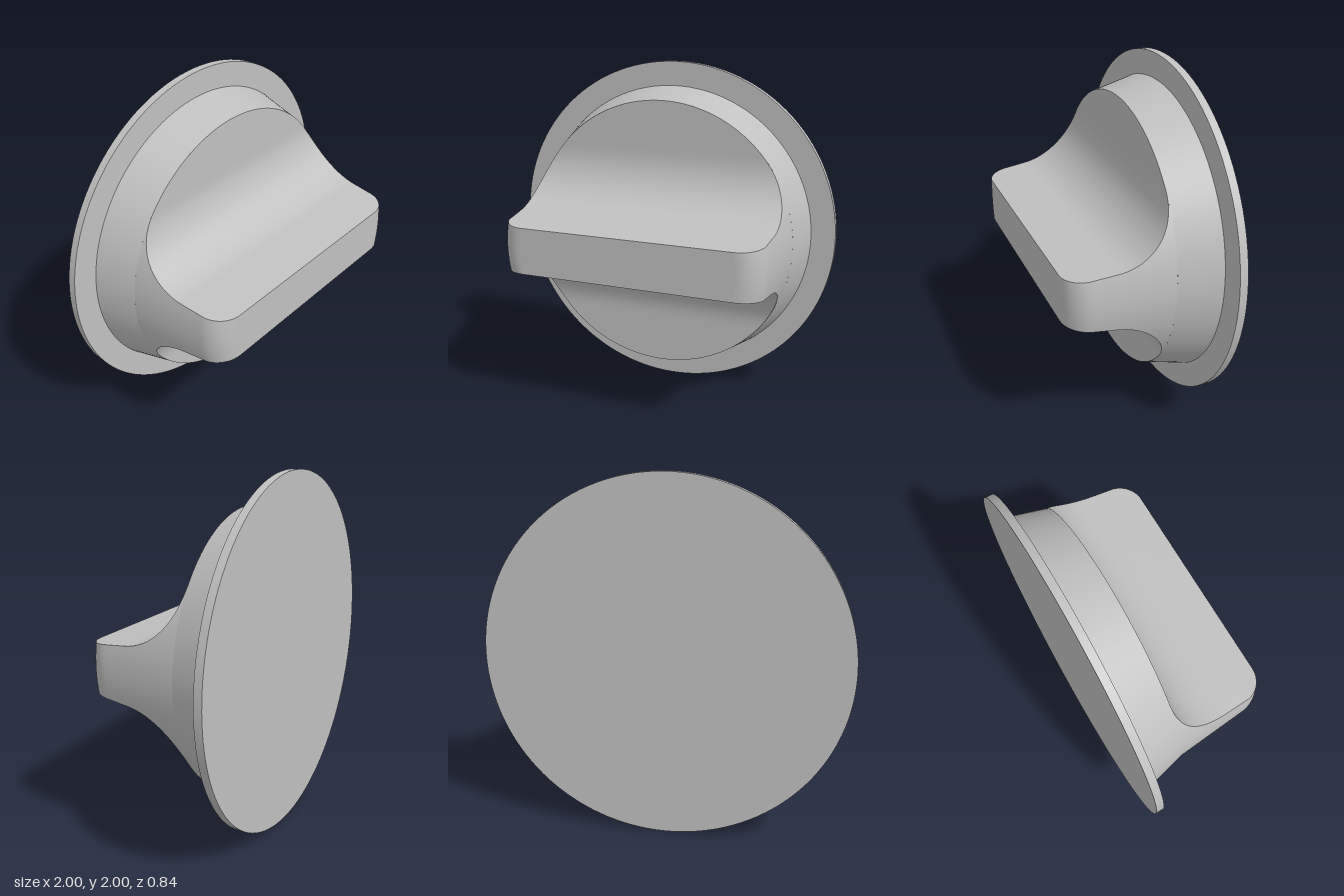
import * as THREE from 'three';

const BACK = -0.42, FLANGE = -0.375, FACE = -0.14, FRONT = 0.42;
const ROUND = 0.14, ROUND_START = FRONT - ROUND;

// Radius of the turned body in front of the face
function bodyRadius(z) {
  if (z <= ROUND_START) return THREE.MathUtils.mapLinear(z, FACE, ROUND_START, 0.8, 0.76);
  const t = Math.min(1, (z - ROUND_START) / ROUND);
  return 0.62 + ROUND * Math.sqrt(1 - t * t);
}

// Smooth grid through rows of points
function gridSurface(rows, cols, pointAt) {
  const positions = [], index = [];
  for (let i = 0; i <= rows; i++) {
    for (let j = 0; j <= cols; j++) positions.push(...pointAt(i, j / cols));
  }
  for (let i = 0; i < rows; i++) {
    for (let j = 0; j < cols; j++) {
      const a = i * (cols + 1) + j, b = a + cols + 1;
      index.push(a, b, a + 1, b, b + 1, a + 1);
    }
  }
  const geometry = new THREE.BufferGeometry();
  geometry.setAttribute('position', new THREE.Float32BufferAttribute(positions, 3));
  geometry.setIndex(index);
  geometry.computeVertexNormals();
  return geometry;
}

export function createModel() {
  const model = new THREE.Group();
  model.name = 'knob';
  const knob = new THREE.Group();
  knob.name = 'knobBody';
  knob.position.y = 1;
  model.add(knob);

  const grey = new THREE.MeshStandardMaterial({ color: 0xc0c0c0 });
  grey.name = 'light grey';

  const add = (name, geometry) => {
    const mesh = new THREE.Mesh(geometry, grey);
    mesh.name = name;
    knob.add(mesh);
    return mesh;
  };

  // Thin round flange at the back
  const flange = new THREE.CylinderGeometry(1, 1, FLANGE - BACK, 128);
  add('flange', flange.rotateX(Math.PI / 2).translate(0, 0, (BACK + FLANGE) / 2));

  // Tapered base of the body
  const base = new THREE.CylinderGeometry(0.8, 0.86, FACE - FLANGE, 128, 1, true);
  add('taperedBase', base.rotateX(Math.PI / 2).translate(0, 0, (FLANGE + FACE) / 2));

  // Half profile of the grip as [z, half height]: concave fillet, then a slight taper
  const fillet = 0.34, grip = [];
  for (let i = 0; i <= 20; i++) {
    const t = (i / 20) * (Math.PI / 2 - 0.1);
    grip.push([FACE + fillet * (1 - Math.cos(t)), 0.5 - fillet * Math.sin(t)]);
  }
  const [z0, h0] = grip[grip.length - 1];
  const taper = (z) => [z, THREE.MathUtils.mapLinear(z, z0, FRONT, h0, 0.135)];
  grip.push(taper((z0 + ROUND_START) / 2));
  for (let i = 0; i <= 12; i++) {
    grip.push(taper(ROUND_START + ROUND * Math.sin((i / 12) * Math.PI / 2)));
  }

  // Flat face from the rim inward, running into the grip profile
  const side = [];
  const rimAngle = Math.acos(0.5 / 0.8);
  for (let i = 0; i < 24; i++) side.push([FACE, 0.8 * Math.cos((i / 24) * rimAngle)]);
  side.push(...grip);

  const faceGeometry = gridSurface(side.length - 1, 8, (i, v) => {
    const [z, h] = side[i];
    const r = bodyRadius(z);
    return [(2 * v - 1) * Math.sqrt(Math.max(0, r * r - h * h)), h, z];
  });

  // Turned end of the grip, bounded by the profile
  const endGeometry = gridSurface(grip.length - 1, 24, (i, v) => {
    const [z, h] = grip[i];
    const r = bodyRadius(z);
    const a = Math.asin(h / r) * (1 - 2 * v);
    return [r * Math.cos(a), r * Math.sin(a), z];
  });

  // Both halves are the same under a half turn
  add('upperFace', faceGeometry);
  add('lowerFace', faceGeometry).rotation.z = Math.PI;
  add('leftGripEnd', endGeometry);
  add('rightGripEnd', endGeometry).rotation.z = Math.PI;

  // Flat front of the grip
  const r = bodyRadius(FRONT), a = Math.asin(0.135 / r);
  const front = new THREE.Shape();
  front.absarc(0, 0, r, -a, a, false);
  front.absarc(0, 0, r, Math.PI - a, Math.PI + a, false);
  add('gripFront', new THREE.ShapeGeometry(front, 24).translate(0, 0, FRONT));

  return model;
}
